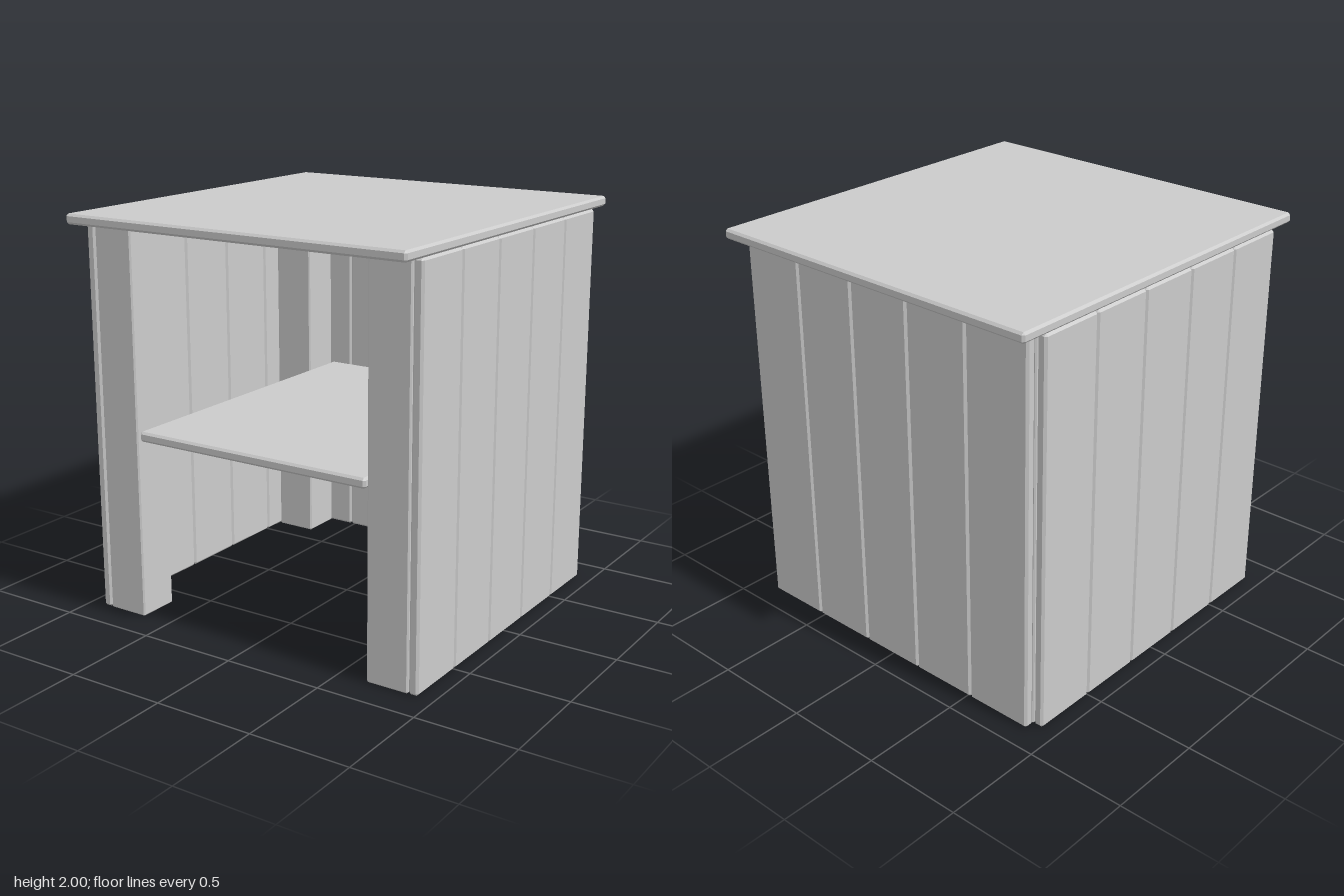
import * as THREE from 'three';
import { ConvexGeometry } from 'three/addons/geometries/ConvexGeometry.js';

const material = new THREE.MeshStandardMaterial({ color: 0xcccccc, flatShading: true });

// Box between two corners with every edge chamfered by c
function board(name, min, max, c = 0.011) {
  const half = max.map((v, i) => (v - min[i]) / 2);
  const points = [];
  for (const sx of [-1, 1]) for (const sy of [-1, 1]) for (const sz of [-1, 1]) {
    for (let face = 0; face < 3; face++) {
      const p = [sx, sy, sz].map((s, i) => s * (half[i] - (i === face ? 0 : c)));
      points.push(new THREE.Vector3(...p));
    }
  }
  const mesh = new THREE.Mesh(new ConvexGeometry(points), material);
  mesh.position.set(...max.map((v, i) => (v + min[i]) / 2));
  mesh.name = name;
  return mesh;
}

export function createModel() {
  const group = new THREE.Group();
  group.name = 'nightstand';

  const planks = 5;
  const plankTop = 1.95;
  const sideHalf = 0.833; // half depth of the side walls
  const backHalf = 0.867; // half width of the back wall

  // Overhanging top and inner shelf
  group.add(board('tabletop', [-0.92, 1.95, -0.97], [0.92, 2, 0.97]));
  group.add(board('shelf', [-0.64, 0.91, -0.833], [0.64, 0.96, 0.833]));

  // Square legs inside the four corners
  for (const sx of [-1, 1]) for (const sz of [-1, 1]) {
    const x = sx * 0.76, z = sz * 0.725;
    group.add(board(sz > 0 ? 'frontLeg' : 'backLeg',
      [x - 0.108, 0, z - 0.108], [x + 0.108, plankTop, z + 0.108], 0.007));
  }

  // Vertical plank walls: left, right and back
  for (let i = 0; i < planks; i++) {
    const a = -1 + (2 * i) / planks, b = -1 + (2 * (i + 1)) / planks;
    for (const s of [-1, 1]) {
      const x = s * 0.895;
      group.add(board(s > 0 ? 'leftPlank' : 'rightPlank',
        [x - 0.025, 0, a * sideHalf], [x + 0.025, plankTop, b * sideHalf]));
    }
    group.add(board('backPlank',
      [a * backHalf, 0, -0.883], [b * backHalf, plankTop, -0.833]));
  }

  return group;
}
